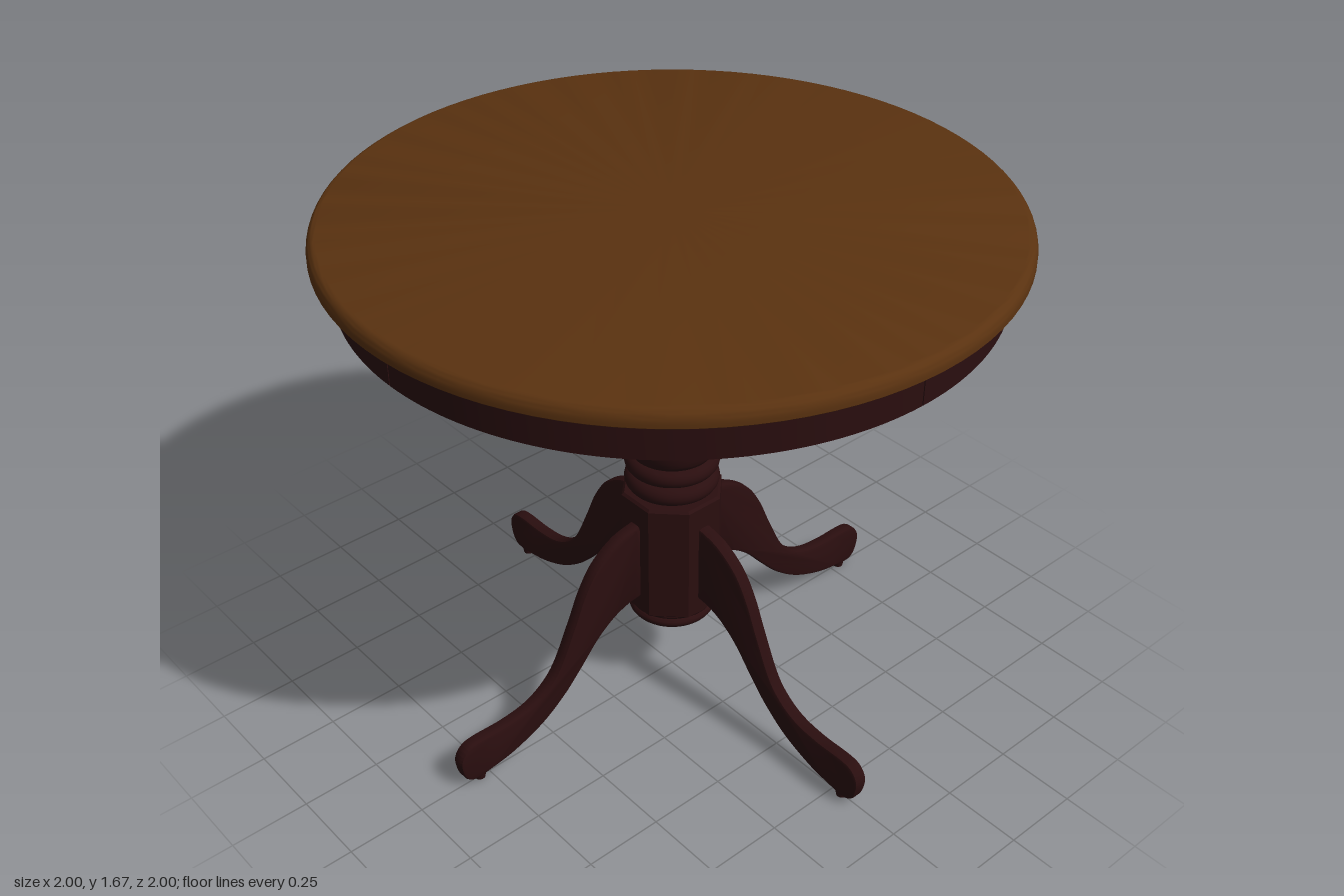
import * as THREE from 'three';
import { toCreasedNormals } from 'three/addons/utils/BufferGeometryUtils.js';

const topWood = new THREE.MeshStandardMaterial({ color: 0x5a3210 });
topWood.name = 'warm brown wood';
const darkWood = new THREE.MeshStandardMaterial({ color: 0x2a0e0f });
darkWood.name = 'dark mahogany wood';

const vec = (list) => list.map(([x, y]) => new THREE.Vector2(x, y));

function mesh(name, geometry, material = darkWood, crease = 0.6) {
  const m = new THREE.Mesh(toCreasedNormals(geometry, crease), material);
  m.name = name;
  return m;
}

// Eight-sided block with slightly softened ends; r is the half width across flats
function octagonBlock(name, r, y0, y1) {
  const R = r / Math.cos(Math.PI / 8), c = 0.008;
  const pts = vec([[0, y0], [R - c, y0], [R, y0 + c], [R, y1 - c], [R - c, y1], [0, y1]]);
  return mesh(name, new THREE.LatheGeometry(pts, 8, Math.PI / 8), darkWood, 0.3);
}

// Half-round ring profile, as points from bottom to top
function bead(r, y0, y1) {
  const h = (y1 - y0) / 2, out = [];
  for (let i = 0; i <= 8; i++) {
    const a = -Math.PI / 2 + (i / 8) * Math.PI;
    out.push([r - h + Math.cos(a) * h, (y0 + y1) / 2 + Math.sin(a) * h]);
  }
  return out;
}

function legGeometry() {
  const s = new THREE.Shape();
  s.moveTo(0.1, 0.66);
  s.lineTo(0.15, 0.655);
  s.splineThru(vec([[0.23, 0.635], [0.31, 0.58], [0.365, 0.5], [0.41, 0.4], [0.47, 0.275],
    [0.52, 0.215], [0.59, 0.175], [0.68, 0.16], [0.79, 0.16], [0.835, 0.147], [0.858, 0.11],
    [0.853, 0.06], [0.835, 0.028], [0.805, 0.017], [0.75, 0.022], [0.66, 0.04], [0.55, 0.085],
    [0.46, 0.15], [0.39, 0.222], [0.32, 0.3], [0.257, 0.348], [0.2, 0.372], [0.15, 0.38]]));
  s.lineTo(0.1, 0.38);
  const g = new THREE.ExtrudeGeometry(s, {
    depth: 0.024, bevelThickness: 0.01, bevelSize: 0.01, bevelOffset: -0.01,
    bevelSegments: 2, curveSegments: 60,
  });
  return g.translate(0, 0, -0.012);
}

export function createModel() {
  const table = new THREE.Group();
  table.name = 'roundPedestalTable';

  // Round top with an eased upper edge
  const edge = [];
  for (let i = 0; i <= 8; i++) {
    const a = (i / 8) * Math.PI / 2;
    edge.push([0.972 + 0.028 * Math.cos(a), 1.638 + 0.037 * Math.sin(a)]);
  }
  const topProfile = vec([[0, 1.625], [0.997, 1.625], [1, 1.628], ...edge, [0, 1.675]]);
  table.add(mesh('tableTop', new THREE.LatheGeometry(topProfile, 96), topWood));

  // Apron in four curved pieces with fine joints
  const gap = 0.002;
  const arc = new THREE.Shape();
  arc.absarc(0, 0, 0.945, gap, Math.PI / 2 - gap, false);
  arc.absarc(0, 0, 0.855, Math.PI / 2 - gap, gap, true);
  const apronGeometry = new THREE.ExtrudeGeometry(arc, { depth: 0.125, bevelEnabled: false, curveSegments: 24 });
  apronGeometry.rotateX(-Math.PI / 2).translate(0, 1.5, 0);
  const legShape = legGeometry();

  // Apron pieces, support bars, legs and glides repeat every quarter turn
  for (let i = 0; i < 4; i++) {
    const quarter = new THREE.Group();
    quarter.name = 'quarter' + (i + 1);
    quarter.rotation.y = i * Math.PI / 2;
    quarter.add(mesh('apronSegment', apronGeometry));

    const bar = mesh('supportBar', new THREE.BoxGeometry(0.9, 0.05, 0.05));
    bar.position.set(0.46, 1.53, 0);
    quarter.add(bar);

    quarter.add(mesh('leg', legShape));
    const glide = mesh('footGlide', new THREE.CylinderGeometry(0.022, 0.017, 0.03, 16));
    glide.position.set(0.785, 0.015, 0);
    quarter.add(glide);
    table.add(quarter);
  }

  // Pedestal: faceted blocks joined by a turned vase shape and rings
  table.add(octagonBlock('upperColumnBlock', 0.15, 1.225, 1.54));
  table.add(octagonBlock('lowerColumnBlock', 0.15, 0.32, 0.74));

  const vase = new THREE.SplineCurve(vec([[0.128, 0.875], [0.14, 0.895], [0.147, 0.935],
    [0.143, 0.98], [0.133, 1.04], [0.123, 1.11], [0.119, 1.16], [0.125, 1.19],
    [0.143, 1.213], [0.152, 1.232]])).getPoints(40);
  const turned = [...vec([[0, 0.73], [0.13, 0.73], ...bead(0.147, 0.745, 0.808), ...bead(0.147, 0.812, 0.872)]),
    ...vase, new THREE.Vector2(0, 1.232)];
  table.add(mesh('turnedColumn', new THREE.LatheGeometry(turned, 48)));

  const base = vec([[0, 0.265], [0.128, 0.265], ...bead(0.139, 0.265, 0.302), ...bead(0.139, 0.302, 0.325), [0, 0.33]]);
  table.add(mesh('columnBaseRing', new THREE.LatheGeometry(base, 48)));

  return table;
}
